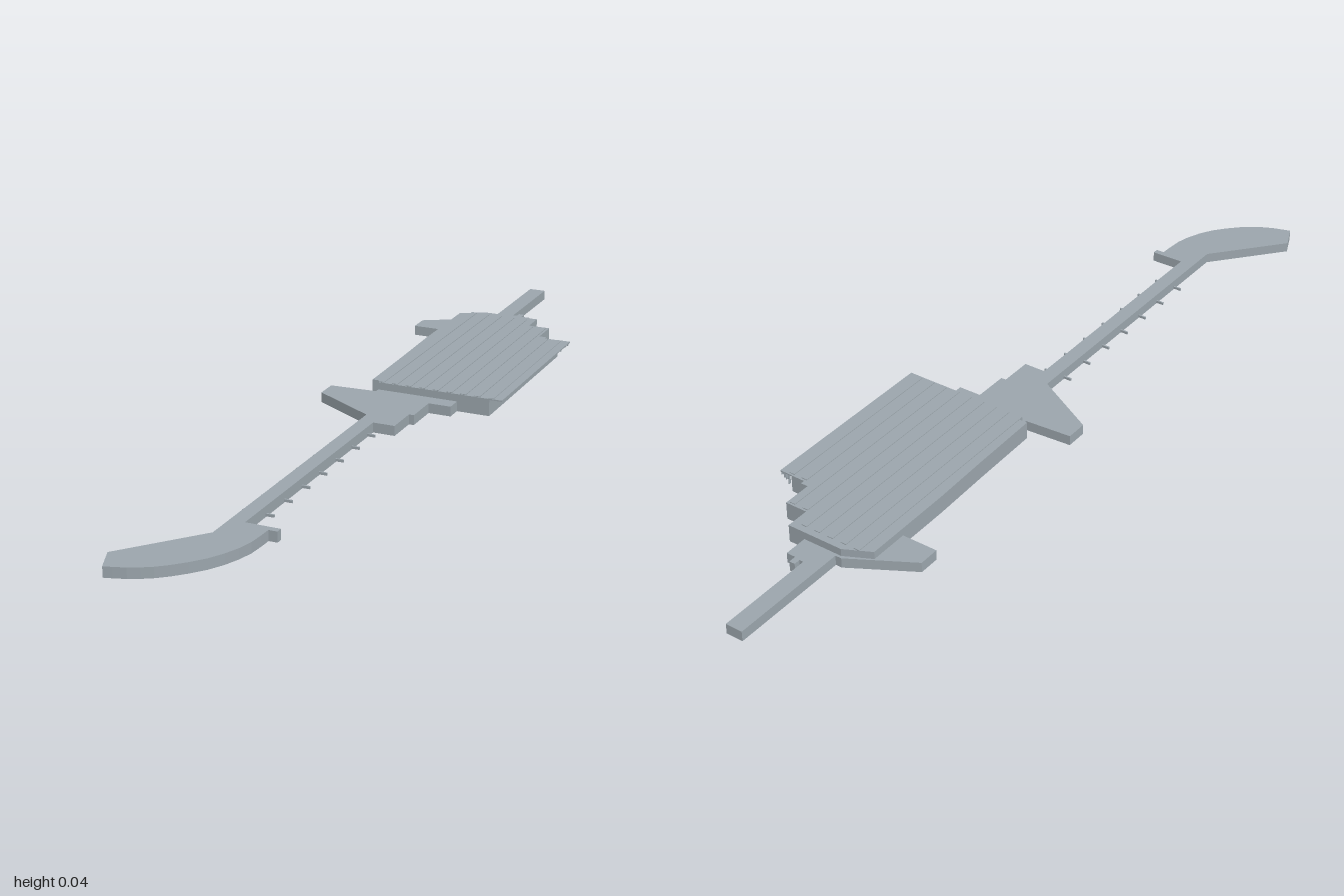
import * as THREE from 'three';
import { mergeGeometries } from 'three/addons/utils/BufferGeometryUtils.js';

const LOW = 0.024, HIGH = 0.042;

// Open-bottomed shell: a top sheet and outward walls around an outline of [x, z] points
function shellGeometry(outline, height) {
  const pts = outline.map(([x, z]) => new THREE.Vector2(x, -z));
  if (THREE.ShapeUtils.isClockWise(pts)) pts.reverse();
  const top = new THREE.ShapeGeometry(new THREE.Shape(pts)).rotateX(-Math.PI / 2).translate(0, height, 0).toNonIndexed();
  top.deleteAttribute('uv');
  const pos = [];
  pts.forEach((a, i) => {
    const b = pts[(i + 1) % pts.length];
    const A = [a.x, 0, -a.y], B = [b.x, 0, -b.y];
    const C = [b.x, height, -b.y], D = [a.x, height, -a.y];
    pos.push(...A, ...B, ...C, ...A, ...C, ...D);
  });
  const walls = new THREE.BufferGeometry();
  walls.setAttribute('position', new THREE.Float32BufferAttribute(pos, 3));
  walls.computeVertexNormals();
  return mergeGeometries([top, walls]);
}

export function createModel() {
  const model = new THREE.Group();
  model.name = 'pierTerminal';
  const grey = new THREE.MeshStandardMaterial({ color: 0x9ba5ac, side: THREE.DoubleSide });
  grey.name = 'concreteGrey';

  const add = (name, geometry, parent = model) => {
    const mesh = new THREE.Mesh(geometry, grey);
    mesh.name = name;
    parent.add(mesh);
    return mesh;
  };
  // Box given by its min and max corners
  const box = (name, x0, x1, y0, y1, z0, z1, parent) => {
    const g = new THREE.BoxGeometry(x1 - x0, y1 - y0, z1 - z0);
    g.translate((x0 + x1) / 2, (y0 + y1) / 2, (z0 + z1) / 2);
    return add(name, g, parent);
  };

  // Front deck, long walkway and curved end in one outline
  const sweep = new THREE.SplineCurve([
    [0.04, 0.72], [0.034, 0.8], [0.0, 0.88], [-0.06, 0.947], [-0.115, 0.982], [-0.17, 1.0],
  ].map(([x, z]) => new THREE.Vector2(x, z))).getPoints(12).map(p => [p.x, p.y]);
  add('frontDeck', shellGeometry([
    [-0.1, -0.108], [0.1, -0.108], [0.1, -0.07], [0.045, -0.07], [0.045, 0.015],
    [0.033, 0.015], [0.033, 0.095], [-0.02, 0.095], [-0.02, 0.705], [0.06, 0.705], [0.06, 0.72],
    ...sweep,
    [-0.195, 0.94], [-0.055, 0.775], [-0.055, 0.055], [-0.213, -0.035], [-0.213, -0.088], [-0.1, -0.095],
  ], LOW));

  // Back deck: wing, walkway and small steps behind the hall
  add('backDeck', shellGeometry([
    [-0.127, -0.58], [-0.213, -0.58], [-0.213, -0.63], [-0.07, -0.712], [-0.055, -0.712],
    [-0.055, -1], [-0.014, -1], [-0.014, -0.765], [-0.004, -0.765], [-0.004, -0.78],
    [0.01, -0.78], [0.01, -0.762], [0.032, -0.762], [0.032, -0.706], [-0.065, -0.706], [-0.127, -0.675],
  ], LOW));

  // Main hall with stepped back corner
  add('hall', shellGeometry([
    [-0.12, -0.12], [-0.1, -0.12], [-0.1, -0.108], [0.18, -0.108], [0.18, -0.57],
    [0.145, -0.57], [0.145, -0.58], [0.127, -0.58], [0.127, -0.65], [0.073, -0.65],
    [0.073, -0.706], [-0.065, -0.706], [-0.127, -0.675], [-0.127, -0.45], [-0.123, -0.3],
  ], HIGH));

  // Long raised roof ribs, shortened where the back edge steps in
  const ribs = new THREE.Group();
  ribs.name = 'roofRibs';
  model.add(ribs);
  for (let i = 0; i < 9; i++) {
    const x = -0.1 + i * 0.0345;
    const back = x < 0.06 ? -0.69 : x < 0.12 ? -0.645 : -0.565;
    box('roofRib', x, x + 0.014, HIGH, HIGH + 0.0018, back, -0.11, ribs);
  }

  // Overhanging canopy with its hangers
  const canopy = new THREE.Group();
  canopy.name = 'canopy';
  model.add(canopy);
  box('canopySheet', 0.18, 0.211, 0.0395, 0.0425, -0.57, -0.108, canopy);
  [[0.189, 0.015], [0.196, 0.024], [0.201, 0.028], [0.207, 0.033]].forEach(([x, y]) =>
    box('canopyHanger', x - 0.0008, x + 0.0008, y, 0.0395, -0.57, -0.564, canopy));

  // Thin cross bars under the walkway
  const bars = new THREE.Group();
  bars.name = 'crossBars';
  model.add(bars);
  for (let i = 0; i < 7; i++) {
    const z = 0.125 + i * 0.0817;
    box('crossBar', -0.074, -0.001, 0.002, 0.008, z - 0.002, z + 0.002, bars);
  }
  return model;
}
